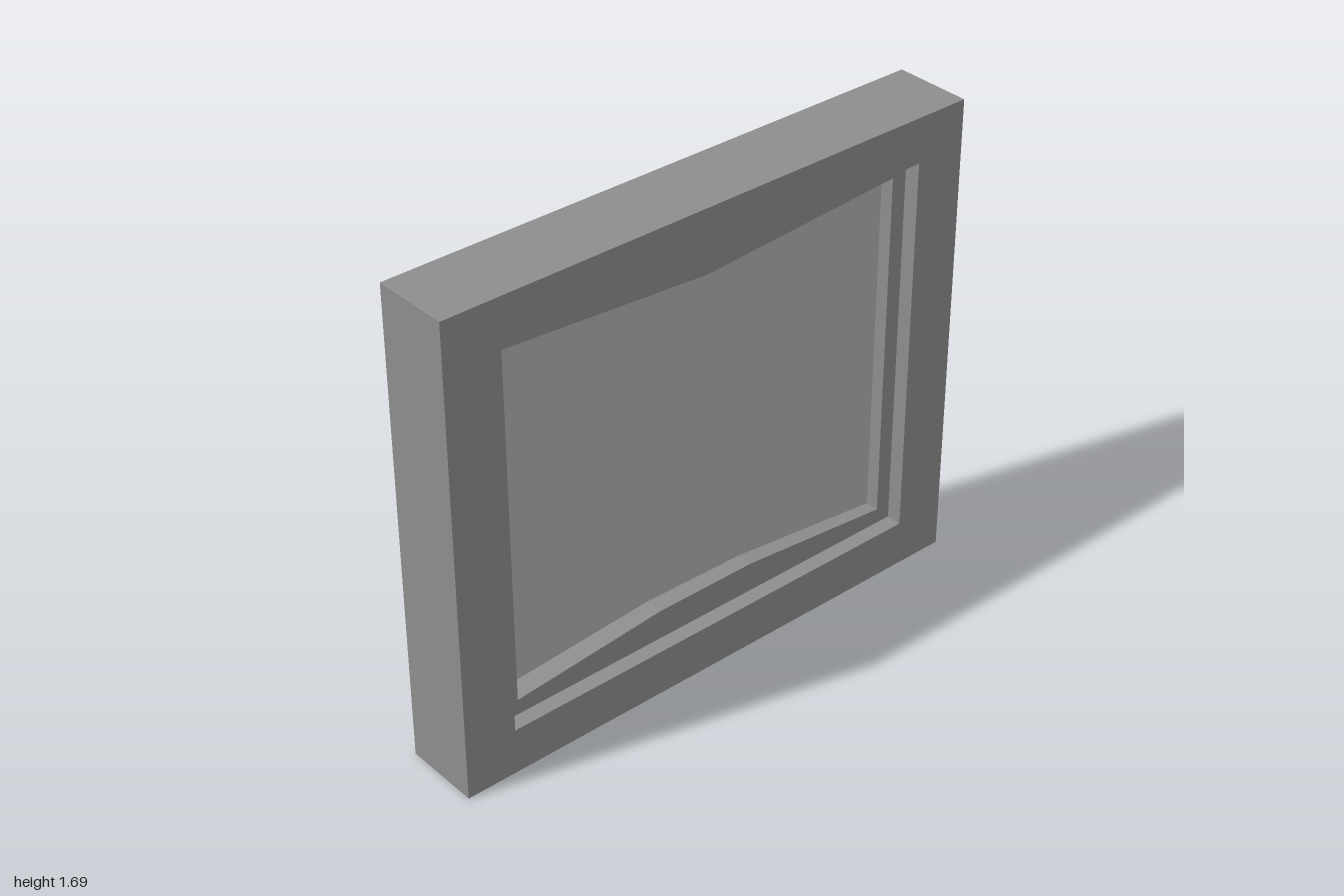
import * as THREE from 'three';

const H = 1.69;
const FRAME_GREY = 0x8d8d8d;
const PANE_GREY = 0xafafaf;

// Outline from a list of [z, y] corners (mirror symmetric in z)
const outline = (pts, Kind = THREE.Shape) => new Kind(pts.map(([z, y]) => new THREE.Vector2(z, y)));
const rect = (w, y0, y1) => [[-w, y0], [w, y0], [w, y1], [-w, y1]];

// Extruded slab standing in the z-y plane, centred on x = 0
function slab(name, outer, hole, thickness, color) {
  const shape = outline(outer);
  if (hole) shape.holes.push(outline(hole, THREE.Path));
  const geo = new THREE.ExtrudeGeometry(shape, { depth: thickness, bevelEnabled: false });
  geo.translate(0, 0, -thickness / 2);
  geo.rotateY(Math.PI / 2);
  const mesh = new THREE.Mesh(geo, new THREE.MeshStandardMaterial({ color, flatShading: true }));
  mesh.name = name;
  return mesh;
}

export function createModel() {
  const group = new THREE.Group();
  group.name = 'window';

  const opening = rect(0.815, 0.165, 1.531);
  // Sash opening: shallow point at the top, flat-topped rise at the bottom
  const sashOpening = [
    [-0.76, 0.22], [-0.19, 0.272], [0.19, 0.272], [0.76, 0.22],
    [0.76, 1.477], [0, 1.426], [-0.76, 1.477],
  ];

  group.add(slab('outerFrame', rect(1, 0, H), opening, 0.273, FRAME_GREY));
  group.add(slab('innerSash', opening, sashOpening, 0.163, FRAME_GREY));

  // The pane sits very slightly turned in its sash
  const pane = slab('pane', sashOpening, null, 0.04, PANE_GREY);
  pane.rotation.y = -0.018;
  group.add(pane);
  return group;
}
